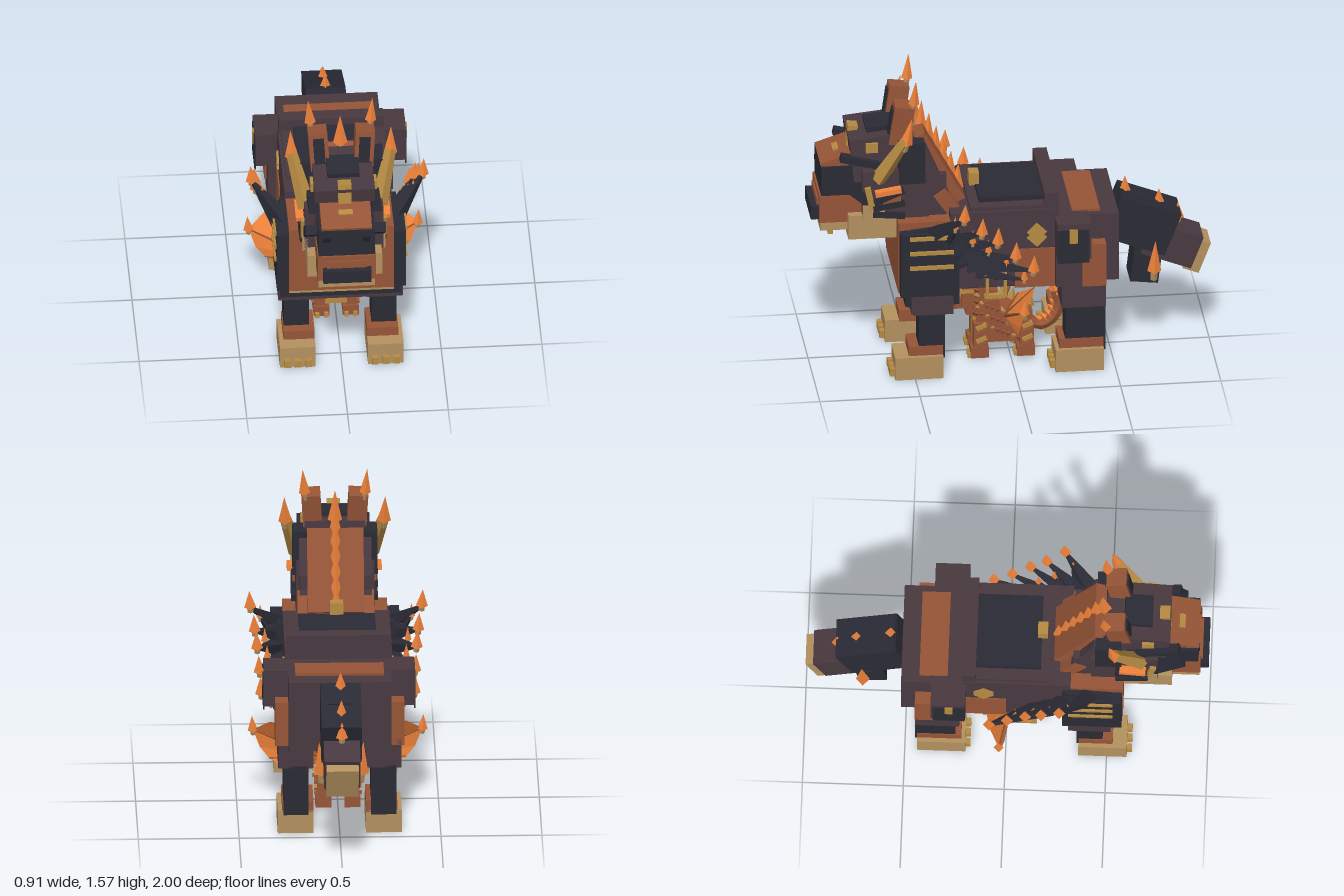
import * as THREE from 'three';

const mats = {};
const C = { dark: 0x2a2a35, plum: 0x48383f, rust: 0x955437, tan: 0xb3905f, gold: 0xb58a42, flame: 0xf0823a, black: 0x1d1d26 };
function mat(c) {
  return mats[c] ||= new THREE.MeshStandardMaterial({ color: C[c], flatShading: true, side: THREE.DoubleSide });
}
const V = (a) => new THREE.Vector3(...a);

export function createModel() {
  const root = new THREE.Group();
  root.name = 'beastAndDragon';
  let target = root;

  function add(name, geo, c) {
    const m = new THREE.Mesh(geo, mat(c));
    m.name = name;
    target.add(m);
    return m;
  }
  // box given by its x, y and z ranges, with optional tilt
  function box(name, c, x0, x1, y0, y1, z0, z1, rx = 0, rz = 0) {
    const m = add(name, new THREE.BoxGeometry(x1 - x0, y1 - y0, z1 - z0), c);
    m.position.set((x0 + x1) / 2, (y0 + y1) / 2, (z0 + z1) / 2);
    m.rotation.set(rx, 0, rz);
  }
  const mid = (name, c, w, ...r) => box(name, c, -w, w, ...r);
  function pair(name, c, x0, x1, y0, y1, z0, z1, rx = 0, rz = 0) {
    box(name + 'Left', c, x0, x1, y0, y1, z0, z1, rx, rz);
    box(name + 'Right', c, -x1, -x0, y0, y1, z0, z1, rx, -rz);
  }
  // tapered four-sided prism from a to b
  function taper(name, c, a, b, r0, r1) {
    const p = V(a), d = V(b).sub(p);
    const m = add(name, new THREE.CylinderGeometry(r1, r0, d.length(), 4), c);
    m.position.copy(p).addScaledVector(d, 0.5);
    m.quaternion.setFromUnitVectors(new THREE.Vector3(0, 1, 0), d.normalize());
  }
  function barb(name, a, b, r = 0.027) {
    const p = V(a), q = V(b);
    taper(name, 'flame', a, b, r, 0);
    taper(name + 'Collar', 'tan', p.clone().lerp(q, -0.3).toArray(), p.clone().lerp(q, 0.35).toArray(), r * 0.45, r * 0.65);
  }
  const flip = ([x, y, z], s) => [x * s, y, z];

  // ---- torso ----
  mid('torso', 'plum', 0.265, 0.47, 0.88, -0.22, 0.32);
  mid('underbelly', 'dark', 0.25, 0.46, 0.48, -0.45, 0.32);
  mid('rump', 'plum', 0.255, 0.47, 0.835, -0.52, -0.2);
  mid('rumpSides', 'plum', 0.31, 0.47, 0.83, -0.37, -0.2);
  mid('hipBlock', 'plum', 0.375, 0.65, 0.84, -0.37, -0.2);
  mid('rumpPanel', 'rust', 0.22, 0.82, 0.848, -0.43, -0.29);
  mid('saddleFrame', 'plum', 0.25, 0.87, 0.9, -0.2, 0.22);
  mid('saddlePlate', 'dark', 0.19, 0.9, 0.925, -0.17, 0.17);
  mid('saddleBack', 'plum', 0.26, 0.88, 0.965, -0.22, -0.15);
  mid('saddleKnob', 'gold', 0.033, 0.92, 0.985, 0.15, 0.2);
  mid('chestCore', 'dark', 0.3, 0.4, 0.8, 0.28, 0.55);
  mid('chest', 'rust', 0.26, 0.46, 0.84, 0.3, 0.58);
  mid('chestBase', 'plum', 0.31, 0.36, 0.45, 0.31, 0.52);
  mid('chestTrim', 'tan', 0.26, 0.44, 0.46, 0.4, 0.57);
  pair('flankPanel', 'rust', 0.2, 0.272, 0.46, 0.67, -0.21, 0.0);
  pair('thigh', 'rust', 0.17, 0.32, 0.47, 0.7, -0.45, -0.33);
  pair('hipPlate', 'dark', 0.37, 0.378, 0.63, 0.81, -0.36, -0.2);
  pair('hipBadge', 'gold', 0.375, 0.384, 0.74, 0.815, -0.3, -0.26);
  for (const y of [0.73, 0.76]) pair('flankDiamond', 'gold', 0.25, 0.275, y - 0.035, y + 0.035, -0.145, -0.075, Math.PI / 4);
  pair('shoulder', 'dark', 0.24, 0.32, 0.46, 0.8, 0.31, 0.575);
  pair('shoulderCap', 'dark', 0.2, 0.29, 0.76, 0.815, 0.28, 0.52, 0.1);
  for (const y of [0.62, 0.7, 0.78]) pair('shoulderBar', 'gold', 0.315, 0.33, y - 0.01, y + 0.01, 0.31, 0.53);

  // stirrups
  for (const y of [0.43, 0.54]) pair('stirrupBar', 'gold', 0.275, 0.3, y - 0.01, y + 0.01, 0.045, 0.155);
  for (const z of [0.05, 0.14]) pair('stirrupSide', 'gold', 0.275, 0.3, 0.43, 0.55, z - 0.008, z + 0.008);

  // ---- legs ----
  for (const [n, z, back] of [['front', 0.36, 0], ['hind', -0.44, 1]]) {
    pair(n + 'UpperLeg', 'plum', 0.13, 0.305, 0.35, 0.5, z - (back ? 0.01 : 0.05), z + (back ? 0.21 : 0.15));
    pair(n + 'LowerLeg', 'dark', 0.155, 0.28, 0.1, 0.36, z - 0.01, z + (back ? 0.19 : 0.12));
    pair(n + 'Ankle', 'rust', 0.13, 0.285, 0.11, 0.17, z, z + (back ? 0.22 : 0.17));
    pair(n + 'Paw', 'tan', 0.13, 0.307, 0, 0.12, z, z + 0.24);
    for (const x of [0.165, 0.218, 0.271]) pair(n + 'Toe', 'gold', x - 0.016, x + 0.016, 0.015, 0.055, z + 0.23, z + 0.265);
  }

  // ---- neck and mane ----
  mid('neck', 'plum', 0.18, 0.8, 1.06, 0.33, 0.62);
  mid('maneSlab', 'rust', 0.14, 0.86, 1.28, 0.33, 0.41, 0.5);
  mid('maneBase', 'rust', 0.19, 0.8, 0.98, 0.28, 0.35, 0.6);
  pair('maneSide', 'plum', 0.13, 0.18, 0.82, 1.22, 0.35, 0.45, 0.4);
  for (let i = 0; i < 7; i++) {
    const t = i / 6, y = 0.9 + 0.4 * t, z = 0.26 + 0.22 * t;
    barb('maneSpike', [0, y, z], [0, y + 0.13 + 0.03 * t, z - 0.01], 0.036);
  }

  // ---- head ----
  mid('skull', 'plum', 0.195, 0.84, 1.1, 0.42, 0.75);
  mid('crown', 'plum', 0.15, 1.04, 1.27, 0.48, 0.8, 0.1);
  mid('crownPlate', 'dark', 0.08, 1.265, 1.295, 0.58, 0.72, 0.1);
  pair('crest', 'dark', 0.13, 0.21, 1.03, 1.25, 0.44, 0.57);
  mid('faceBlock', 'dark', 0.14, 0.95, 1.11, 0.72, 0.95);
  mid('brow', 'rust', 0.125, 1.1, 1.155, 0.76, 0.95, 0.32);
  mid('browMark', 'gold', 0.035, 1.148, 1.163, 0.85, 0.88, 0.32);
  mid('foreheadGem', 'gold', 0.033, 1.17, 1.28, 0.76, 0.81, -0.1);
  mid('muzzle', 'rust', 0.145, 0.81, 0.955, 0.72, 0.96);
  mid('nose', 'dark', 0.12, 0.82, 0.89, 0.94, 1.0);
  mid('muzzleBridge', 'rust', 0.1, 0.89, 0.93, 0.94, 0.97);
  mid('lip', 'tan', 0.14, 0.765, 0.815, 0.72, 0.955);
  mid('chinTuft', 'gold', 0.12, 0.735, 0.77, 0.89, 0.915);
  mid('jaw', 'tan', 0.185, 0.73, 0.86, 0.58, 0.82);
  pair('eye', 'black', 0.08, 0.115, 1.04, 1.065, 0.94, 0.956);
  pair('cheekRuff', 'tan', 0.18, 0.205, 0.84, 0.92, 0.64, 0.75);
  pair('cheekTrim', 'gold', 0.19, 0.212, 0.9, 1.02, 0.7, 0.73, 0.2);
  pair('cheekBlade', 'dark', 0.14, 0.2, 0.96, 1.01, 0.66, 0.9, -0.7);
  pair('cheekPlate', 'rust', 0.18, 0.208, 0.92, 1.0, 0.56, 0.65);
  pair('cheekBar', 'flame', 0.195, 0.235, 0.985, 1.01, 0.56, 0.69, 0.15);
  pair('browBlade', 'dark', 0.13, 0.18, 1.12, 1.155, 0.6, 0.86, -0.25);
  pair('templeBadge', 'gold', 0.13, 0.165, 1.19, 1.24, 0.67, 0.73);
  for (let i = 0; i < 3; i++) pair('jawBlade', 'dark', 0.17, 0.215, 0.85 + i * 0.05, 0.88 + i * 0.05, 0.54, 0.7, -0.1 + i * 0.25);
  pair('ear', 'rust', 0.065, 0.16, 1.22, 1.43, 0.5, 0.6, -0.15, -0.06);
  pair('earInner', 'dark', 0.085, 0.14, 1.27, 1.41, 0.58, 0.607, -0.15, -0.06);
  for (const s of [-1, 1]) {
    barb('earSpike', flip([0.15, 1.44, 0.49], s), flip([0.16, 1.57, 0.48], s), 0.028);
    taper('horn', 'gold', flip([0.18, 1.05, 0.67], s), flip([0.245, 1.29, 0.54], s), 0.045, 0.028);
    barb('hornTip', flip([0.245, 1.27, 0.54], s), flip([0.25, 1.41, 0.51], s), 0.034);
  }

  // ---- shoulder fans of blades with bright tips ----
  const tips = [[0.425, 0.92, 0.27], [0.405, 0.83, 0.18], [0.395, 0.77, 0.1], [0.385, 0.68, 0.01], [0.38, 0.6, -0.08]];
  for (const s of [-1, 1]) tips.forEach((t, i) => {
    taper('fanBlade', 'dark', flip([0.27, 0.77 - 0.04 * i, 0.42 - 0.05 * i], s), flip(t, s), 0.055, 0.01);
    const low = [t[0] - 0.05, t[1] - 0.07, t[2] + 0.04];
    taper('fanUnderBlade', 'dark', flip([0.26, 0.67 - 0.03 * i, 0.35 - 0.04 * i], s), flip(low, s), 0.04, 0.008);
    barb('fanTip', flip(t, s), flip([t[0] + 0.005, t[1] + 0.09, t[2] - 0.005], s), 0.03);
    barb('fanSmallTip', flip(low, s), flip([low[0], low[1] + 0.07, low[2]], s), 0.018);
  });

  // ---- tail ----
  mid('tailBase', 'dark', 0.1, 0.56, 0.795, -0.82, -0.5, -0.37);
  mid('tailMiddle', 'plum', 0.09, 0.47, 0.645, -0.94, -0.67, -0.37);
  mid('tailTip', 'tan', 0.08, 0.405, 0.575, -0.972, -0.888, -0.37);
  mid('tailTopBlock', 'dark', 0.065, 0.74, 0.825, -0.69, -0.54, -0.37);
  mid('tailLowBlock', 'dark', 0.08, 0.36, 0.58, -0.75, -0.61, -0.12);
  for (const [y, z] of [[0.83, -0.58], [0.75, -0.75], [0.67, -0.845]]) barb('tailSpike', [0, y, z], [0, y + 0.085, z], 0.03);
  for (const s of [-1, 1]) barb('tailSideSpike', [s * 0.1, 0.43, -0.715], [s * 0.11, 0.6, -0.72], 0.035);

  // ---- small dragon beneath ----
  target = new THREE.Group();
  target.name = 'smallDragon';
  root.add(target);
  mid('dragonBody', 'rust', 0.08, 0.075, 0.24, -0.11, 0.14);
  mid('dragonChest', 'rust', 0.085, 0.12, 0.3, 0.04, 0.17, 0.2);
  mid('dragonBelly', 'gold', 0.055, 0.07, 0.21, 0.1, 0.185);
  mid('dragonNeck', 'rust', 0.055, 0.2, 0.36, 0.08, 0.2, -0.3);
  mid('dragonHead', 'rust', 0.07, 0.27, 0.38, 0.13, 0.24);
  mid('dragonSnout', 'rust', 0.045, 0.25, 0.31, 0.2, 0.285);
  mid('dragonNostrils', 'gold', 0.035, 0.29, 0.325, 0.235, 0.288);
  mid('dragonBrow', 'gold', 0.075, 0.345, 0.365, 0.18, 0.25);
  for (const z of [0.15, -0.08]) {
    pair('dragonLeg', 'rust', 0.045, 0.105, 0.02, 0.19, z - 0.035, z + 0.035);
    pair('dragonFoot', 'rust', 0.033, 0.112, 0.005, 0.06, z - 0.04, z + 0.05);
    for (let i = 0; i < 4; i++) pair('legScale', i % 2 ? 'gold' : 'rust', 0.095, 0.118, 0.06 + i * 0.035, 0.08 + i * 0.035, z - 0.03, z + 0.025, 0.4);
    for (const x of [0.05, 0.095]) pair('dragonClaw', 'gold', x - 0.01, x + 0.01, 0.005, 0.03, z + 0.04, z + 0.065);
  }
  for (const s of [-1, 1]) {
    taper('dragonHorn', 'gold', [s * 0.045, 0.36, 0.18], [s * 0.075, 0.45, 0.14], 0.018, 0);
    for (let i = 0; i < 5; i++) {
      const y = 0.23 + i * 0.032;
      taper('dragonFrill', i % 2 ? 'gold' : 'rust', [s * 0.05, y, 0.17], [s * 0.135, y + 0.025, 0.16], 0.022, 0);
    }
    // rows of scale studs along the flank and neck
    for (let i = 0; i < 30; i++) {
      const k = Math.floor(i / 3), y = 0.28 - k * 0.012 - (i % 3) * 0.055, z = 0.15 - k * 0.027;
      taper('flankStud', i % 4 ? 'rust' : 'gold', [s * 0.06, y, z], [s * 0.11, y + 0.02, z - 0.015], 0.024, 0);
    }
    // cupped webbed wing with finger ribs, fanned from its root
    const outline = [[0.05, 0.2], [0.1, 0.35], [0.25, 0.445], [0.34, 0.45], [0.42, 0.39], [0.385, 0.29], [0.34, 0.23], [0.27, 0.185], [0.15, 0.2]];
    const at = ([x, y]) => [s * x, y, 0.03 - (y - 0.2) * 0.32 - 0.05 * Math.sin((x - 0.05) / 0.37 * Math.PI)];
    const pts = [];
    for (let i = 1; i < outline.length - 1; i++) pts.push(...[0, i, i + 1].map((k) => V(at(outline[k]))));
    const g = new THREE.BufferGeometry().setFromPoints(pts);
    g.computeVertexNormals();
    add('wingWeb', g, 'flame');
    for (const k of [1, 2, 4, 6]) taper('wingRib', 'rust', at(outline[0]), at(outline[k]), 0.01, 0.004);
    barb('wingSpike', [s * 0.42, 0.385, -0.03], [s * 0.425, 0.465, -0.035], 0.026);
  }
  for (let i = 0; i < 6; i++) taper('backStud', 'gold', [0, 0.34 - i * 0.022, 0.12 - i * 0.045], [0, 0.4 - i * 0.022, 0.11 - i * 0.045], 0.025, 0);
  // curled tail with studs and fins
  const curve = new THREE.CatmullRomCurve3([[0, 0.16, -0.08], [0, 0.125, -0.16], [0, 0.16, -0.22], [0, 0.23, -0.25], [0, 0.31, -0.23]].map(V));
  add('dragonTail', new THREE.TubeGeometry(curve, 14, 0.03, 6), 'rust');
  for (let i = 2; i < 10; i++) {
    const p = curve.getPoint(i / 10);
    taper('tailStud', 'gold', p.toArray(), [0, p.y - 0.02, p.z - 0.045], 0.02, 0);
    taper('tailFin', 'flame', p.toArray(), [0, p.y + 0.045, p.z + 0.045], 0.03, 0);
  }
  taper('dragonTailTip', 'flame', [0, 0.29, -0.24], [0, 0.38, -0.2], 0.035, 0);
  return root;
}
